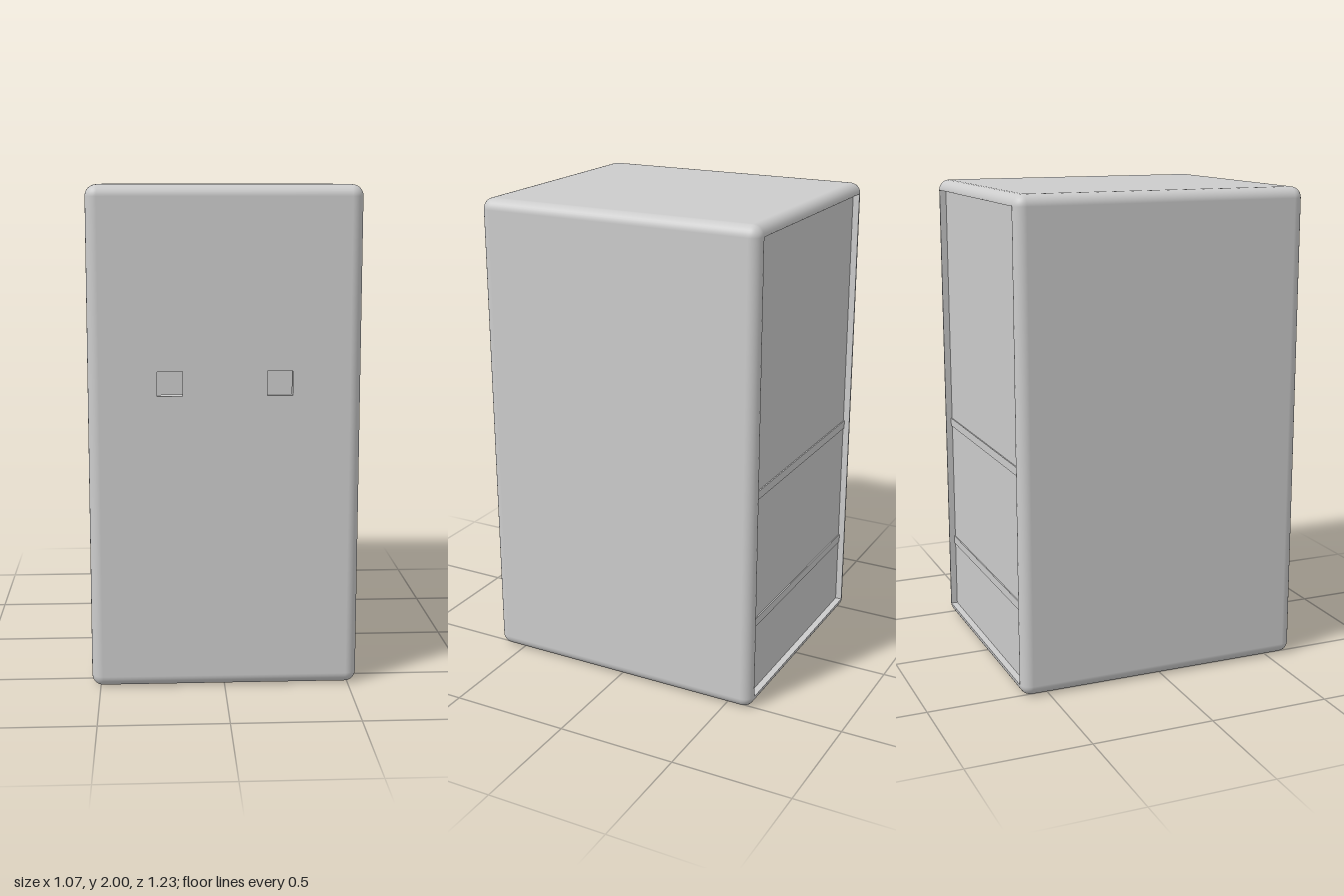
import * as THREE from 'three';
import { RoundedBoxGeometry } from 'three/addons/geometries/RoundedBoxGeometry.js';

const W = 1.07, H = 2, D = 1.226, R = 0.045;
const IW = W - 2 * R, IH = H - 2 * R;

function rectangle(PathType, w, h, x = 0, y = 0) {
  const p = new PathType();
  p.moveTo(x - w / 2, y - h / 2);
  p.lineTo(x + w / 2, y - h / 2);
  p.lineTo(x + w / 2, y + h / 2);
  p.lineTo(x - w / 2, y + h / 2);
  p.closePath();
  return p;
}

// Rounded box with its flat front and back faces removed
function openRoundedBox() {
  const source = new RoundedBoxGeometry(W, H, D, 4, R);
  const box = source.index ? source.toNonIndexed() : source;
  const p = box.attributes.position, n = box.attributes.normal;
  const positions = [], normals = [];
  for (let i = 0; i < p.count; i += 3) {
    if ([0, 1, 2].every((k) => Math.abs(p.getZ(i + k)) > D / 2 - 1e-4)) continue;
    for (let k = i; k < i + 3; k++) {
      positions.push(p.getX(k), p.getY(k), p.getZ(k));
      normals.push(n.getX(k), n.getY(k), n.getZ(k));
    }
  }
  const geometry = new THREE.BufferGeometry();
  geometry.setAttribute('position', new THREE.Float32BufferAttribute(positions, 3));
  geometry.setAttribute('normal', new THREE.Float32BufferAttribute(normals, 3));
  return geometry;
}

export function createModel() {
  const model = new THREE.Group();
  model.name = 'cabinet';
  const grey = new THREE.MeshStandardMaterial({ color: 0xcccccc });
  grey.name = 'light grey';

  const add = (name, geometry, y, z) => {
    const mesh = new THREE.Mesh(geometry, grey);
    mesh.name = name;
    mesh.position.set(0, y, z);
    model.add(mesh);
  };

  // Outer casing with rounded edges
  add('casing', openRoundedBox(), H / 2, 0);

  // Front wall pierced by two square openings
  const front = rectangle(THREE.Shape, IW, IH);
  for (const side of [-1, 1]) {
    front.holes.push(rectangle(THREE.Path, 0.1, 0.097, side * 0.215, 0.235));
  }
  add('frontWall', new THREE.ExtrudeGeometry(front, { depth: R, bevelEnabled: false }), H / 2, D / 2 - R);

  // Inner faces of the side walls, floor and ceiling
  const lining = rectangle(THREE.Shape, IW + 0.004, IH + 0.004);
  lining.holes.push(rectangle(THREE.Path, IW, IH));
  add('innerWalls', new THREE.ExtrudeGeometry(lining, { depth: D - R, bevelEnabled: false }), H / 2, -D / 2);

  // Back panel set slightly into the casing
  const recess = 0.028, panel = 0.02;
  add('backPanel', new THREE.BoxGeometry(IW, IH, panel), H / 2, -D / 2 + recess + panel / 2);

  // Shelves whose rear edges show just proud of the back panel
  const shelfBack = -D / 2 + recess - 0.005, shelfFront = D / 2 - R;
  for (const [name, y] of [['lowerShelf', 0.355], ['upperShelf', 0.915]]) {
    add(name, new THREE.BoxGeometry(IW, 0.035, shelfFront - shelfBack), y, (shelfFront + shelfBack) / 2);
  }

  return model;
}
